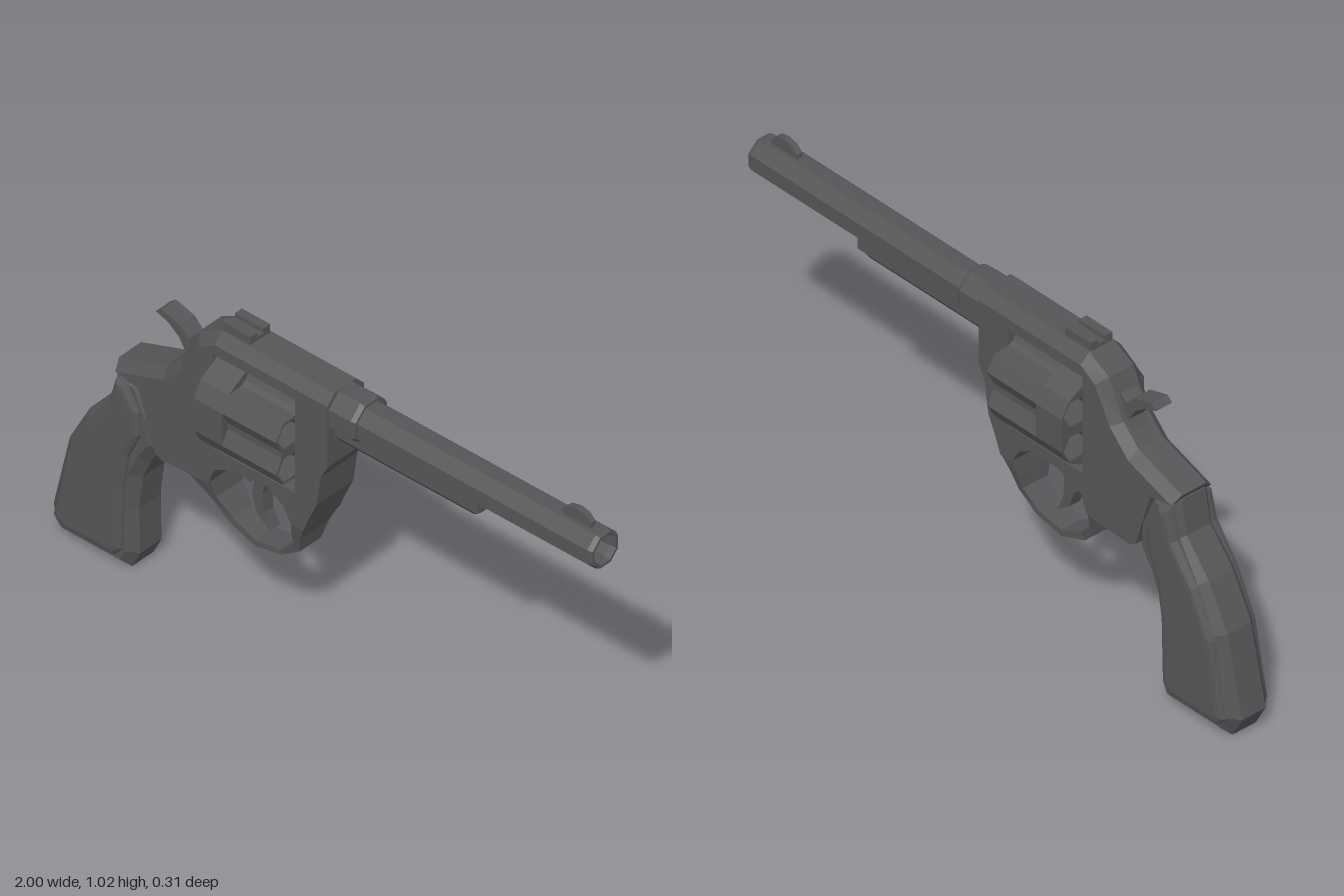
import * as THREE from 'three';

const gunmetal = new THREE.MeshStandardMaterial({ color: 0x555557 });
gunmetal.name = 'gunmetal';

const toShape = (pts) => new THREE.Shape(pts.map(([x, y]) => new THREE.Vector2(x, y)));

// Flat-faced mesh
function part(name, geometry) {
  const g = geometry.index ? geometry.toNonIndexed() : geometry;
  g.computeVertexNormals();
  const mesh = new THREE.Mesh(g, gunmetal);
  mesh.name = name;
  return mesh;
}

// Side outline extruded evenly about z = 0, optionally with bevelled edges
function plate(pts, half, { holes = [], bevel = 0, inset = bevel, steps = 1 } = {}) {
  const shape = toShape(pts);
  shape.holes = holes.map(toShape);
  const depth = 2 * (half - bevel);
  return new THREE.ExtrudeGeometry(shape, {
    depth, bevelEnabled: bevel > 0, bevelThickness: bevel, bevelSize: inset,
    bevelOffset: -inset, bevelSegments: steps,
  }).translate(0, 0, -depth / 2);
}

// Solid skinned over equal-sized convex rings, always facing outward
function loft(rings) {
  const n = rings[0].length, tris = [];
  for (let i = 0; i + 1 < rings.length; i++) {
    for (let j = 0; j < n; j++) {
      const a = rings[i][j], b = rings[i][(j + 1) % n];
      const c = rings[i + 1][(j + 1) % n], d = rings[i + 1][j];
      tris.push([a, b, c], [a, c, d]);
    }
  }
  const first = rings[0], last = rings[rings.length - 1];
  for (let j = 1; j < n - 1; j++) {
    tris.push([first[0], first[j + 1], first[j]], [last[0], last[j], last[j + 1]]);
  }
  const v = (p) => new THREE.Vector3(...p);
  const volume = tris.reduce((s, [a, b, c]) => s + v(a).dot(v(b).cross(v(c))), 0);
  if (volume < 0) tris.forEach((t) => t.reverse());
  const g = new THREE.BufferGeometry();
  g.setAttribute('position', new THREE.Float32BufferAttribute(tris.flat(2), 3));
  return g;
}

// Eight-sided turned part lying along x; profile is [radius, x]
function octagon(profile, y) {
  const pts = profile.map(([r, x]) => new THREE.Vector2(r, x));
  return new THREE.LatheGeometry(pts, 8, Math.PI / 8).rotateZ(-Math.PI / 2).translate(0, y, 0);
}

// Drum section with six hexagonal chambers and optional flutes between them
function drum(x0, x1, fluted) {
  const polar = (r, deg) => [r * Math.cos(deg * Math.PI / 180), r * Math.sin(deg * Math.PI / 180)];
  const outline = [], holes = [];
  for (let a = 0; a < 360; a += 60) {
    if (fluted) outline.push(polar(0.13, a - 4.5), polar(0.13, a + 4.5));
    outline.push(polar(0.163, a + 20), polar(0.163, a + 40));
    const [cx, cy] = polar(0.115, a + 30);
    holes.push([0, 60, 120, 180, 240, 300].map((h) => {
      const [dx, dy] = polar(0.046, h);
      return [cx + dx, cy + dy];
    }));
  }
  return plate(outline, (x1 - x0) / 2, { holes })
    .rotateY(Math.PI / 2).translate((x0 + x1) / 2, 0.757, 0);
}

export function createModel() {
  const model = new THREE.Group();
  const add = (name, geometry) => model.add(part(name, geometry));

  // Frame with a window for the drum
  const shoulder = [[-0.745, 0.675], [-0.57, 0.735], [-0.495, 0.81], [-0.435, 0.92],
    [-0.375, 0.955], [0.04, 0.955]];
  const crest = [[-0.757, 0.702], [-0.58, 0.765], [-0.52, 0.825], [-0.46, 0.945],
    [-0.38, 0.988], [0.04, 0.986]];
  add('frame', plate([...shoulder,
    [0.04, 0.745], [0.015, 0.7], [0, 0.595], [-0.03, 0.53], [-0.05, 0.48], [-0.095, 0.48],
    [-0.125, 0.53], [-0.185, 0.565], [-0.27, 0.56], [-0.335, 0.545], [-0.38, 0.52],
    [-0.4, 0.465], [-0.49, 0.46], [-0.575, 0.455], [-0.6, 0.47], [-0.66, 0.66]], 0.075,
  { holes: [[[-0.385, 0.595], [-0.08, 0.595], [-0.08, 0.92], [-0.385, 0.92]]] }));

  // Chamfered ridge along the top and back of the frame
  add('frameRidge', loft(crest.map(([x, y], i) => {
    const [sx, sy] = shoulder[i];
    return [[x, y, 0.045], [x, y, -0.045], [sx, sy, -0.075], [sx, sy, 0.075]];
  })));

  // Trigger guard, narrowing toward the bottom
  const outer = [[-0.05, 0.485], [-0.075, 0.43], [-0.09, 0.37], [-0.16, 0.32], [-0.26, 0.3],
    [-0.355, 0.335], [-0.42, 0.4], [-0.49, 0.462]];
  const inner = [[-0.097, 0.49], [-0.106, 0.435], [-0.11, 0.385], [-0.165, 0.337], [-0.26, 0.32],
    [-0.34, 0.355], [-0.39, 0.41], [-0.4, 0.475]];
  const width = (y) => THREE.MathUtils.clamp(0.04 + (y - 0.36) * 0.28, 0.04, 0.074);
  add('triggerGuard', loft(outer.map(([x, y], i) => {
    const [u, v] = inner[i], w = width(y), t = width(v);
    return [[x, y, w], [x, y, -w], [u, v, -t], [u, v, t]];
  })));

  add('trigger', plate([[-0.345, 0.56], [-0.34, 0.505], [-0.295, 0.49], [-0.28, 0.505],
    [-0.29, 0.45], [-0.27, 0.395], [-0.22, 0.36], [-0.245, 0.41], [-0.25, 0.475],
    [-0.225, 0.57]], 0.02));

  add('hammer', plate([[-0.635, 0.915], [-0.615, 0.932], [-0.545, 0.912], [-0.515, 0.88],
    [-0.49, 0.9], [-0.47, 0.86], [-0.51, 0.8], [-0.545, 0.8], [-0.525, 0.83], [-0.55, 0.87],
    [-0.59, 0.9]], 0.03));

  // Rotating drum
  add('drumRear', drum(-0.385, -0.28, false));
  add('drumFront', drum(-0.28, -0.08, true));

  // Barrel with open bore, and its collar
  add('barrel', octagon([[0.063, 0.1], [0.063, 0.985], [0.057, 1], [0.048, 1], [0.046, 0.98],
    [0.04, 0.975], [0.04, 0.6], [0, 0.6]], 0.912));
  add('barrelCollar', octagon([[0, 0.03], [0.076, 0.03], [0.076, 0.12], [0.07, 0.135],
    [0, 0.135]], 0.914));

  // Rod housing under the barrel, with a cut-back nose
  const rod = (x, low) => [[x, 0.88, 0.045], [x, 0.88, -0.045], [x, 0.838, -0.045],
    [x, low, -0.025], [x, low, 0.025], [x, 0.838, 0.045]];
  add('rodHousing', loft([rod(0.02, 0.812), rod(0.535, 0.812), rod(0.565, 0.832)]));

  // Sights
  add('frontSight', plate([[0.85, 0.96], [0.955, 0.96], [0.955, 0.985], [0.935, 1.005],
    [0.905, 1.012], [0.87, 1.004], [0.85, 0.985]], 0.01));
  add('rearSightBase', new THREE.BoxGeometry(0.105, 0.02, 0.08).translate(-0.328, 0.99, 0));
  for (const z of [-0.026, 0.026]) {
    add('rearSightPost', new THREE.BoxGeometry(0.105, 0.035, 0.028).translate(-0.328, 0.998, z));
  }

  // Grip core with chamfered edges
  add('grip', plate([[-0.755, 0.685], [-0.775, 0.575], [-0.865, 0.47], [-0.94, 0.33], [-1, 0.07],
    [-0.96, 0], [-0.71, 0], [-0.68, 0.06], [-0.685, 0.21], [-0.67, 0.33], [-0.64, 0.4],
    [-0.595, 0.47], [-0.6, 0.56], [-0.66, 0.68]], 0.074, { bevel: 0.03 }));

  // Raised, rounded grip panels on both sides
  add('gripPanels', plate([[-0.74, 0.66], [-0.765, 0.565], [-0.85, 0.45], [-0.92, 0.31],
    [-0.97, 0.07], [-0.945, 0.04], [-0.745, 0.04], [-0.715, 0.075], [-0.71, 0.28],
    [-0.69, 0.41], [-0.65, 0.5], [-0.655, 0.58], [-0.7, 0.66]], 0.091,
  { bevel: 0.02, inset: 0.025, steps: 3 }));

  return model;
}
